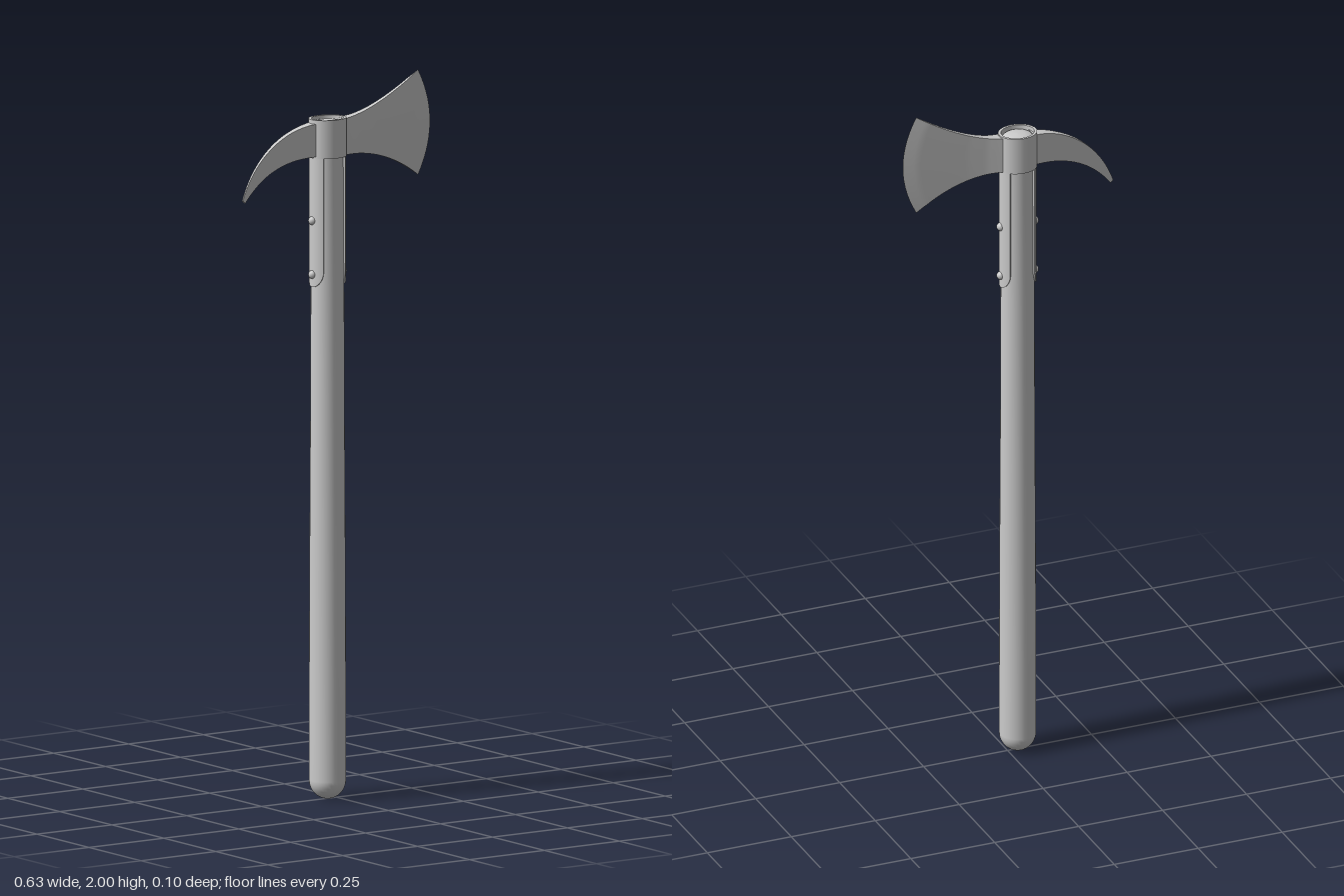
import * as THREE from 'three';
import { mergeGeometries } from 'three/addons/utils/BufferGeometryUtils.js';

const material = new THREE.MeshStandardMaterial({ color: 0xcccccc, side: THREE.DoubleSide });
const V2 = (x, y) => new THREE.Vector2(x, y);
const HANDLE_X = -0.03;

function addMesh(parent, name, geometry) {
  const mesh = new THREE.Mesh(geometry, material);
  mesh.name = name;
  parent.add(mesh);
  return mesh;
}

// Smooth surface grid; faces point along du x dv
function patch(fn, nu, nv) {
  const positions = [], index = [];
  for (let i = 0; i <= nu; i++) {
    for (let j = 0; j <= nv; j++) positions.push(...fn(i / nu, j / nv));
  }
  for (let i = 0; i < nu; i++) {
    for (let j = 0; j < nv; j++) {
      const a = i * (nv + 1) + j, b = a + nv + 1;
      index.push(a, b, b + 1, a, b + 1, a + 1);
    }
  }
  const g = new THREE.BufferGeometry();
  g.setAttribute('position', new THREE.Float32BufferAttribute(positions, 3));
  g.setIndex(index);
  g.computeVertexNormals();
  return g;
}

// Tapered plate between a lower and an upper curve, both running towards +x
function plate(lower, upper, halfThickness, bulge = 0) {
  const at = (u, v, side) => {
    const p = lower.getPoint(u).lerp(upper.getPoint(u), v);
    return [p.x + bulge * u * u * 4 * v * (1 - v), p.y, side * halfThickness(u)];
  };
  return mergeGeometries([
    patch((u, v) => at(u, v, 1), 32, 14),
    patch((u, v) => at(u, 1 - v, -1), 32, 14),
    patch((u, v) => at(u, 1, 1 - 2 * v), 32, 1),
    patch((u, v) => at(u, 0, 2 * v - 1), 32, 1),
  ]);
}

// Piecewise linear lookup in [position, value] pairs
function profile(pairs) {
  return (t) => {
    let i = 1;
    while (i < pairs.length - 1 && t > pairs[i][0]) i++;
    const [t0, a] = pairs[i - 1], [t1, b] = pairs[i];
    return a + (b - a) * (t - t0) / (t1 - t0);
  };
}

// Riveted strap hugging the +x side of the handle, rounded at its lower end
function langet() {
  const y0 = 1.43, len = 0.37, angle = 0.8;
  const row = (u) => {
    const y = y0 + len * u * u;
    const k = Math.max(0, 1 - (y - y0) / 0.045);
    return [y, angle * Math.sqrt(1 - k * k)];
  };
  const at = (u, s, inset) => {
    const [y, a] = row(u);
    return [(0.052 - inset) * Math.cos(a * s), y, (0.047 - inset) * Math.sin(a * s)];
  };
  return mergeGeometries([
    patch((u, v) => at(u, 2 * v - 1, 0), 24, 10),
    patch((u, v) => at(u, 1, 0.012 * v), 24, 1),
    patch((u, v) => at(u, -1, 0.012 * (1 - v)), 24, 1),
  ]);
}

export function createModel() {
  const model = new THREE.Group();
  model.name = 'axe';

  const shaft = new THREE.Group();
  shaft.name = 'shaft';
  shaft.position.x = HANDLE_X;
  model.add(shaft);

  // Handle: rounded butt, round below and slightly oval towards the head
  const outline = [];
  for (let i = 0; i <= 8; i++) {
    const a = (i / 8) * Math.PI / 2;
    outline.push(V2(0.051 * Math.sin(a), 0.053 * (1 - Math.cos(a))));
  }
  outline.push(V2(0.051, 0.2), V2(0.05, 0.6), V2(0.048, 1.0), V2(0.047, 1.4), V2(0.046, 1.8),
    V2(0.046, 1.87), V2(0.044, 1.882), V2(0.038, 1.888), V2(0.02, 1.891), V2(0, 1.892));
  const handle = new THREE.LatheGeometry(outline, 32);
  const pos = handle.attributes.position;
  for (let i = 0; i < pos.count; i++) {
    const t = THREE.MathUtils.clamp(pos.getY(i) / 1.8, 0, 1);
    pos.setZ(i, pos.getZ(i) * (1 - 0.11 * t * t));
  }
  handle.computeVertexNormals();
  addMesh(shaft, 'handle', handle);

  // Collar: oval socket ring; repeated corner points keep its rims sharp
  const c = [V2(0.046, 1.79), V2(0.055, 1.79), V2(0.055, 1.897), V2(0.047, 1.897), V2(0.046, 1.87)];
  const collar = mergeGeometries(c.slice(1).map((p, i) => new THREE.LatheGeometry([c[i], p], 32)));
  addMesh(shaft, 'collar', collar).scale.z = 0.84;

  // Langets and their rivets on both sides
  for (const [side, turn] of [['left', 0], ['right', Math.PI]]) {
    const group = new THREE.Group();
    group.name = side + 'Langet';
    group.rotation.y = turn;
    shaft.add(group);
    addMesh(group, 'strap', langet());
    for (const y of [1.465, 1.615]) {
      const rivet = addMesh(group, 'rivet', new THREE.SphereGeometry(0.012, 16, 10));
      rivet.position.set(0.05, y, 0);
    }
  }

  // Axe blade: flares from the collar to a curved cutting edge
  addMesh(model, 'blade', plate(
    new THREE.CubicBezierCurve(V2(0.015, 1.79), V2(0.1, 1.795), V2(0.19, 1.77), V2(0.272, 1.707)),
    new THREE.CubicBezierCurve(V2(0.015, 1.892), V2(0.09, 1.895), V2(0.18, 1.94), V2(0.272, 2.0)),
    profile([[0, 0.018], [0.08, 0.015], [0.2, 0.011], [0.4, 0.008], [0.88, 0.0045], [1, 0.0003]]),
    0.04));

  // Spike: curved, drooping to a narrow tip
  addMesh(model, 'spike', plate(
    new THREE.CubicBezierCurve(V2(-0.306, 1.686), V2(-0.25, 1.76), V2(-0.18, 1.795), V2(-0.07, 1.795)),
    new THREE.CubicBezierCurve(V2(-0.314, 1.693), V2(-0.275, 1.81), V2(-0.18, 1.88), V2(-0.07, 1.887)),
    profile([[0, 0.002], [0.4, 0.005], [0.75, 0.009], [0.9, 0.014], [1, 0.019]])));

  return model;
}
